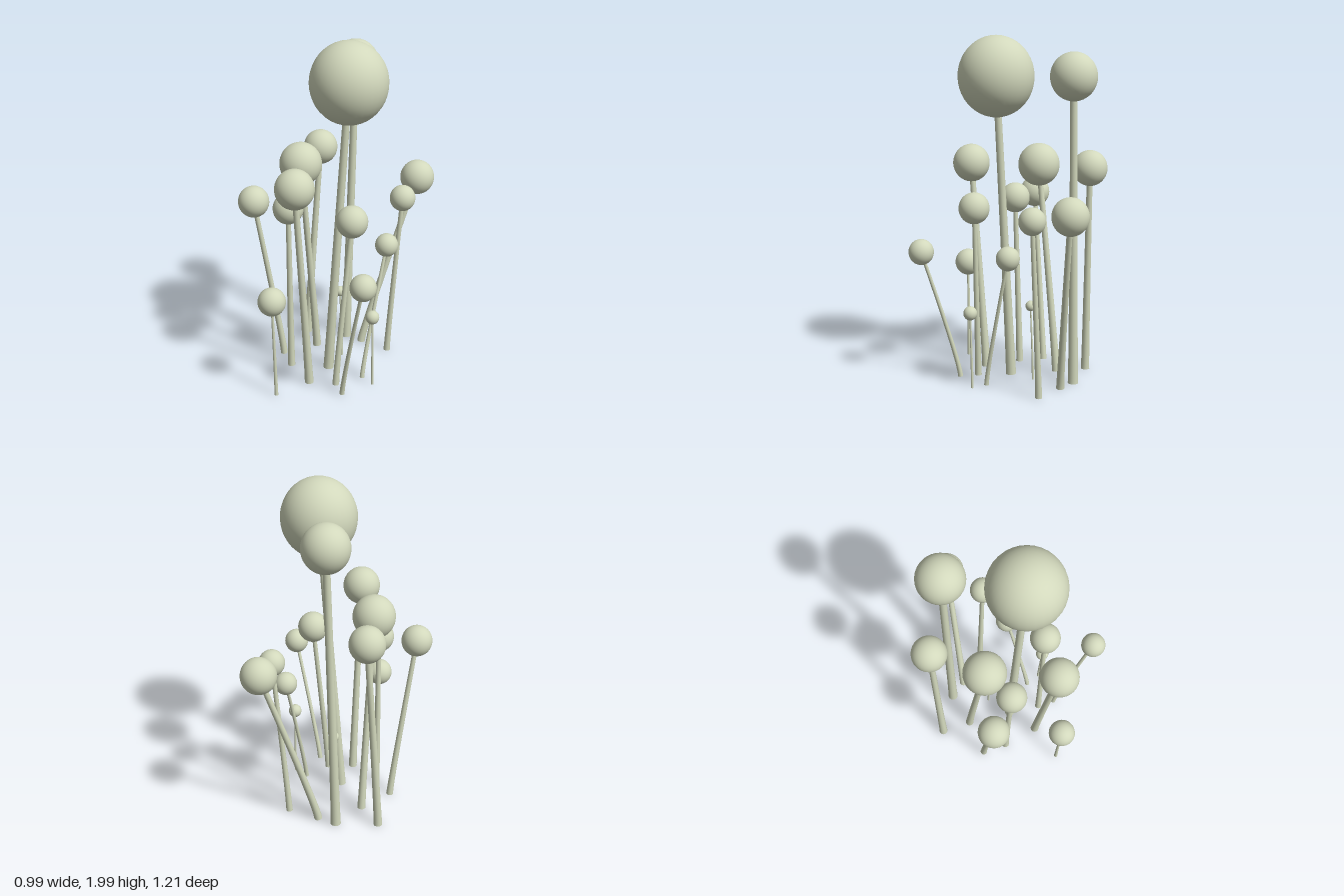
import * as THREE from 'three';

// Each stalk: cap centre x, y, z, cap radius, foot x, foot z, stem radius at the foot
const STALKS = [
  [0.13, 1.775, 0.09, 0.212, 0.0, 0.1, 0.031],
  [-0.068, 1.78, -0.295, 0.13, -0.115, -0.275, 0.031],
  [-0.285, 1.25, -0.253, 0.1, -0.35, -0.19, 0.026],
  [-0.21, 1.25, 0.06, 0.121, -0.205, -0.08, 0.025],
  [-0.006, 1.25, 0.408, 0.108, -0.003, 0.3, 0.026],
  [0.234, 1.083, -0.508, 0.1, 0.0, -0.27, 0.024],
  [0.266, 1.032, -0.278, 0.074, 0.19, -0.265, 0.02],
  [0.265, 0.8, -0.106, 0.066, 0.23, 0.09, 0.014],
  [-0.407, 1.04, 0.25, 0.089, -0.32, 0.11, 0.021],
  [-0.186, 1.037, 0.222, 0.087, -0.2, 0.2, 0.022],
  [-0.09, 0.61, 0.523, 0.078, -0.082, 0.515, 0.011],
  [0.423, 0.788, 0.406, 0.072, 0.225, 0.3, 0.015],
  [0.215, 1.037, 0.187, 0.088, 0.14, 0.235, 0.02],
  [0.318, 0.455, 0.13, 0.039, 0.318, 0.12, 0.008],
  [-0.01, 0.455, -0.042, 0.03, -0.008, -0.062, 0.007],
];

const FOOT_Y = 0.012;
const TOP_TAPER = 0.65;

// Closed, tapered stem that rises upright from its foot and then leans to the cap
function stemGeometry(foot, tip, radius) {
  const bend = foot.clone().lerp(tip, 0.04);
  bend.y = foot.y + 0.1;
  const curve = new THREE.QuadraticBezierCurve3(foot, bend, tip);
  const geo = new THREE.CylinderGeometry(radius * TOP_TAPER, radius, 1, 14, 20);
  const pos = geo.attributes.position;
  const p = new THREE.Vector3();
  const xAxis = new THREE.Vector3(1, 0, 0);
  const up = new THREE.Vector3(0, 1, 0);
  const turn = new THREE.Quaternion();
  for (let i = 0; i < pos.count; i++) {
    const t = THREE.MathUtils.clamp(pos.getY(i) + 0.5, 0, 1);
    turn.setFromUnitVectors(up, curve.getTangent(t));
    p.set(pos.getX(i), 0, pos.getZ(i)).applyQuaternion(turn).add(curve.getPoint(t));
    pos.setXYZ(i, p.x, p.y, p.z);
  }
  geo.computeVertexNormals();
  // Weld the shading across the side seam
  const n = geo.attributes.normal;
  const a = new THREE.Vector3();
  for (let row = 0; row <= 20; row++) {
    const first = row * 15;
    const last = first + 14;
    a.fromBufferAttribute(n, first).add(xAxis.clone().fromBufferAttribute(n, last)).normalize();
    n.setXYZ(first, a.x, a.y, a.z);
    n.setXYZ(last, a.x, a.y, a.z);
  }
  return geo;
}

export function createModel() {
  const model = new THREE.Group();
  model.name = 'roundCapCluster';
  const material = new THREE.MeshStandardMaterial({ color: 0xd2d8bc });

  STALKS.forEach(([x, y, z, r, fx, fz, stemR], i) => {
    const stalk = new THREE.Group();
    stalk.name = `stalk${i + 1}`;

    // Stem, ending inside the cap
    const foot = new THREE.Vector3(fx, FOOT_Y, fz);
    const tip = new THREE.Vector3(x, y, z).lerp(foot, (r * 0.5) / y);
    const stem = new THREE.Mesh(stemGeometry(foot, tip, stemR), material);
    stem.name = 'stem';

    // Round cap, a touch taller than wide
    const cap = new THREE.Mesh(new THREE.SphereGeometry(r, 32, 22), material);
    cap.name = 'cap';
    cap.position.set(x, y, z);
    cap.scale.y = i === 0 ? 1.06 : 1.03;

    stalk.add(stem, cap);
    model.add(stalk);
  });
  return model;
}
